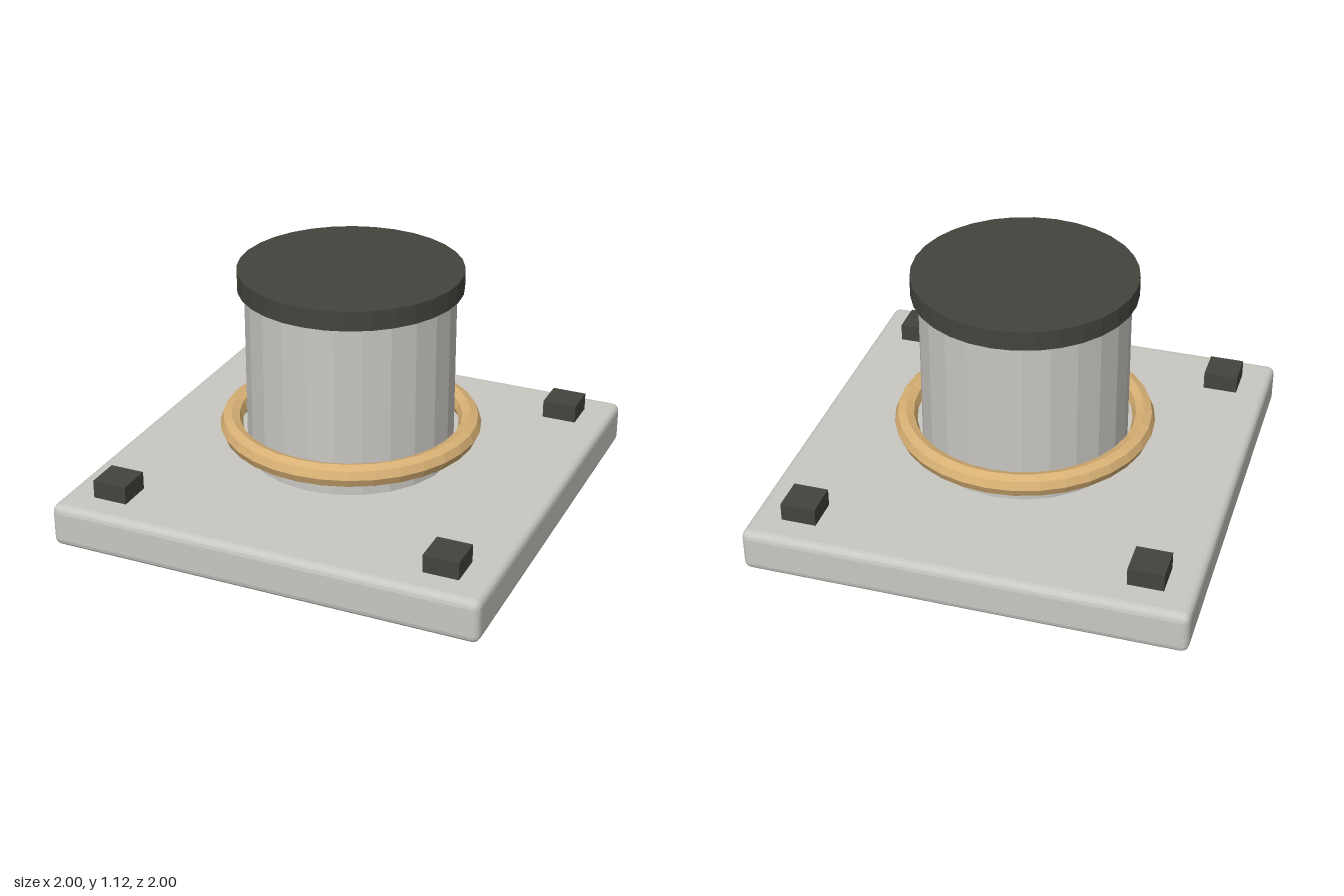
import * as THREE from 'three';
import { RoundedBoxGeometry } from 'three/addons/geometries/RoundedBoxGeometry.js';

export function createModel() {
  const group = new THREE.Group();
  const material = (name, color) => {
    const m = new THREE.MeshStandardMaterial({ color, flatShading: true });
    m.name = name;
    return m;
  };
  const steel = material('pale grey', 0xc9c7c2);
  const dark = material('charcoal', 0x43443d);
  const brass = material('brass', 0xd8b175);

  const add = (name, geometry, mat, x, y, z) => {
    const mesh = new THREE.Mesh(geometry, mat);
    mesh.name = name;
    mesh.position.set(x, y, z);
    group.add(mesh);
    return mesh;
  };

  // square base slab with softened edges
  add('basePlate', new RoundedBoxGeometry(2, 0.2, 2, 2, 0.035), steel, 0, 0.1, 0);

  // column hovering just above the base, with a wider lid
  add('column', new THREE.CylinderGeometry(0.475, 0.475, 0.8, 24), steel, 0, 0.63, 0);
  add('lid', new THREE.CylinderGeometry(0.507, 0.507, 0.09, 32), dark, 0, 1.075, 0);

  // loose ring around the column
  const ring = add('ring', new THREE.TorusGeometry(0.547, 0.052, 8, 32), brass, 0, 0.368, 0);
  ring.rotation.x = Math.PI / 2;

  // square bolt blocks at the corners
  for (const x of [-0.78, 0.78]) {
    for (const z of [-0.78, 0.78]) {
      add('cornerBlock', new THREE.BoxGeometry(0.16, 0.09, 0.16), dark, x, 0.238, z);
    }
  }
  return group;
}
